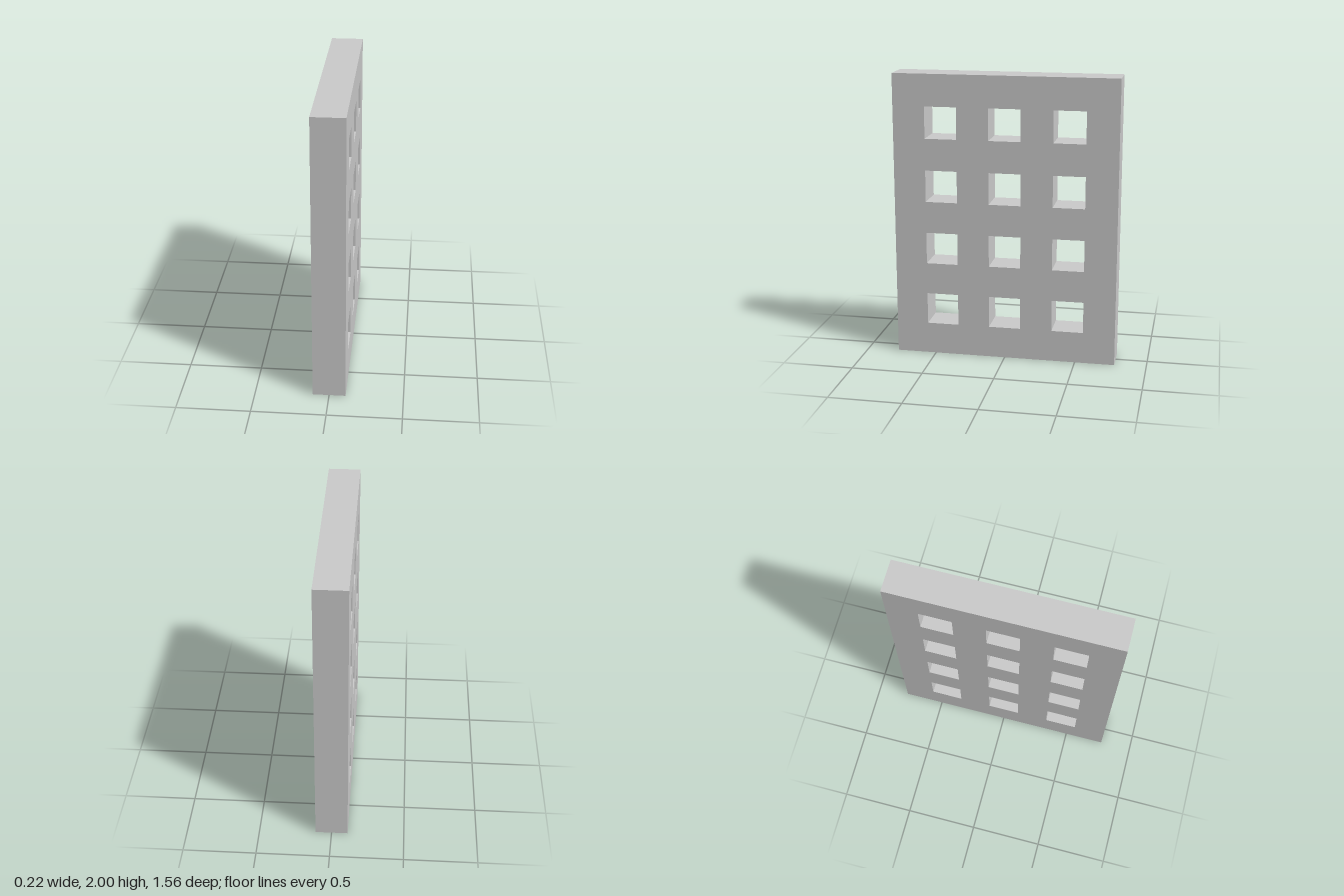
import * as THREE from 'three';

const U = 2 / 9; // module: hole size, bar width and thickness are all one unit
const COLS = 3, ROWS = 4;

// Traces a rectangle on a Shape or Path
function rect(path, x, y, w, h) {
  path.moveTo(x, y);
  path.lineTo(x + w, y);
  path.lineTo(x + w, y + h);
  path.lineTo(x, y + h);
  path.closePath();
  return path;
}

export function createModel() {
  const group = new THREE.Group();
  group.name = 'perforatedPanel';

  // Panel outline, bars and holes alternating
  const width = (2 * COLS + 1) * U, height = (2 * ROWS + 1) * U;
  const outline = rect(new THREE.Shape(), -width / 2, 0, width, height);

  // Grid of square through-holes
  for (let r = 0; r < ROWS; r++) {
    for (let c = 0; c < COLS; c++) {
      outline.holes.push(rect(new THREE.Path(), -width / 2 + (2 * c + 1) * U, (2 * r + 1) * U, U, U));
    }
  }

  // Slab thickness runs along x
  const geometry = new THREE.ExtrudeGeometry(outline, { depth: U, bevelEnabled: false });
  geometry.translate(0, 0, -U / 2);
  geometry.rotateY(Math.PI / 2);

  const panel = new THREE.Mesh(geometry, new THREE.MeshStandardMaterial({ color: 0xcccccc, flatShading: true }));
  panel.name = 'panel';
  group.add(panel);
  return group;
}
